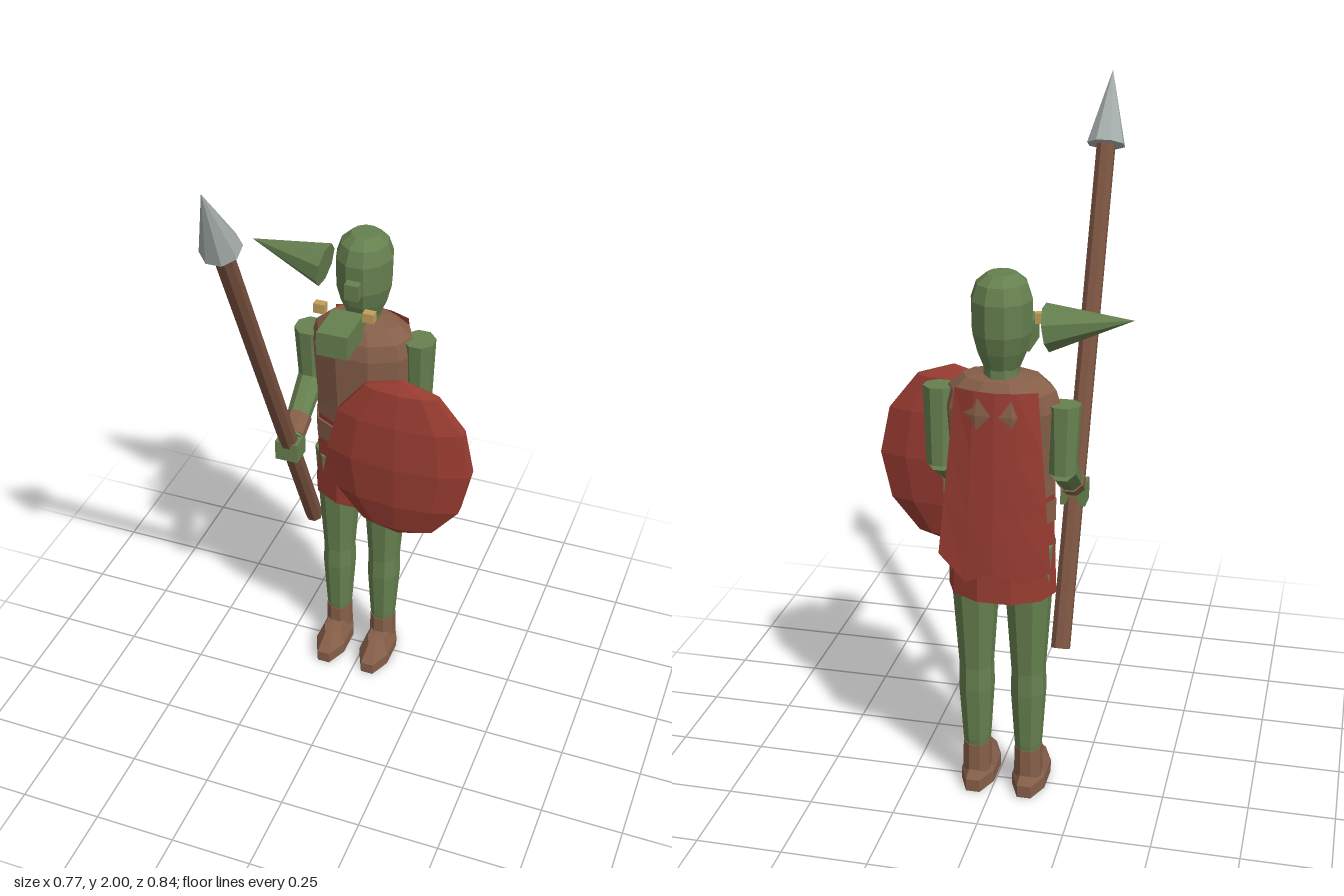
import * as THREE from 'three';

const mat = (name, color) => {
  const m = new THREE.MeshStandardMaterial({ color, flatShading: true });
  m.name = name;
  return m;
};
const V = (x, y, z) => new THREE.Vector3(x, y, z);

export function createModel() {
  const skin = mat('green skin', 0x66804f);
  const leather = mat('brown leather', 0x865f49);
  const wood = mat('spear wood', 0x79523f);
  const red = mat('red cloth and paint', 0x983c31);
  red.side = THREE.DoubleSide;
  const steel = mat('steel', 0xa5adab);
  const gold = mat('gold', 0xc2a05a);

  const model = new THREE.Group();
  model.name = 'spearWarrior';
  const CX = -0.025, CZ = -0.275; // body axis

  const add = (name, geo, material, x = 0, y = 0, z = 0) => {
    const mesh = new THREE.Mesh(geo, material);
    mesh.name = name;
    mesh.position.set(x, y, z);
    model.add(mesh);
    return mesh;
  };
  // Turned shape, profile from bottom to top, squashed or stretched in z
  const turned = (name, pts, sides, zScale, material, x, z) => {
    const geo = new THREE.LatheGeometry(pts.map(p => new THREE.Vector2(...p)), sides);
    geo.rotateY(Math.PI / sides);
    geo.scale(1, 1, zScale);
    return add(name, geo, material, x, 0, z);
  };
  // Tapered cylinder from a to b
  const limb = (name, a, b, ra, rb, material, sides = 8) => {
    const dir = b.clone().sub(a);
    const geo = new THREE.CylinderGeometry(rb, ra, dir.length(), sides);
    geo.rotateY(Math.PI / sides);
    const mid = a.clone().add(b).multiplyScalar(0.5);
    const mesh = add(name, geo, material, mid.x, mid.y, mid.z);
    mesh.quaternion.setFromUnitVectors(V(0, 1, 0), dir.normalize());
    return mesh;
  };
  const box = (name, w, h, d, x, y, z, material) =>
    add(name, new THREE.BoxGeometry(w, h, d), material, x, y, z);

  // Head and neck
  turned('head', [[0, 1.31], [0.05, 1.31], [0.07, 1.36], [0.083, 1.41], [0.085, 1.5],
    [0.07, 1.545], [0.04, 1.57], [0, 1.57]], 10, 1.1, skin, CX, -0.272);
  turned('neck', [[0.052, 1.24], [0.048, 1.34]], 8, 1.1, skin, CX, CZ);
  box('nose', 0.042, 0.05, 0.04, CX, 1.432, -0.176, skin);

  // Jaw block with tusks, and the pointed ear
  box('jaw', 0.093, 0.075, 0.135, CX, 1.347, -0.07, skin);
  for (const s of [-1, 1]) box('tusk', 0.034, 0.03, 0.024, CX + s * 0.074, 1.4, -0.107, gold);
  limb('ear', V(-0.152, 1.43, -0.283), V(-0.385, 1.467, -0.292), 0.066, 0, skin, 8);

  // Torso, belt and skirt
  turned('torso', [[0.148, 0.88], [0.15, 1.0], [0.165, 1.2], [0.15, 1.25],
    [0.11, 1.285], [0, 1.3]], 10, 0.68, leather, CX, -0.27);
  turned('belt', [[0, 0.87], [0.152, 0.87], [0.152, 0.935], [0, 0.935]], 10, 0.74, leather, CX, -0.27);
  box('buckle', 0.05, 0.055, 0.02, CX, 0.903, -0.164, gold);
  turned('skirt', [[0.156, 0.65], [0.148, 0.87], [0.15, 0.952]], 10, 0.74, red, CX, CZ);

  // Legs and shoes
  for (const s of [-1, 1]) {
    const x = CX + s * 0.077;
    turned('leg', [[0.036, 0.12], [0.041, 0.16], [0.052, 0.33], [0.05, 0.4],
      [0.067, 0.65], [0.076, 0.8], [0, 0.83]], 8, 1.15, skin, x, CZ);
    turned('bootCuff', [[0.043, 0.05], [0.041, 0.142], [0, 0.142]], 8, 1.15, leather, x, CZ);
    turned('shoe', [[0, 0], [0.053, 0], [0.053, 0.038], [0.03, 0.085], [0, 0.088]],
      8, 2.3, leather, x, -0.23);
  }

  // Arms, bent forward at the elbow
  for (const s of [-1, 1]) {
    const x = CX + s * 0.172;
    const top = s > 0 ? 1.245 : 1.215;
    const elbow = V(x, 1.035, -0.285), wrist = V(x, 0.915, -0.115);
    limb('upperArm', V(x, 1.02, -0.285), V(x, top, CZ), 0.04, 0.049, skin);
    limb('forearm', elbow, wrist, 0.042, 0.034, skin);
    limb('bracer', elbow.clone().lerp(wrist, 0.66), elbow.clone().lerp(wrist, 0.96), 0.041, 0.038, leather);
    box('hand', 0.072, 0.065, 0.066, x, 0.888, -0.098, skin);
  }

  // Spear, leaning forward through the right hand
  const foot = V(-0.197, 0.48, -0.288), neck = V(-0.197, 1.8, 0.322);
  limb('spearShaft', foot, neck, 0.028, 0.028, wood, 8);
  limb('spearHead', neck, V(-0.197, 2, 0.418), 0.057, 0, steel, 8);

  // Shield: a flattened faceted ball
  const shield = new THREE.SphereGeometry(1, 10, 6);
  shield.rotateY(Math.PI / 10);
  shield.scale(0.231, 0.281, 0.064);
  add('shield', shield, red, 0.162, 0.955, -0.071);

  // Cape: rows hang from the shoulders and flare to a ragged hem
  const cols = 4, rows = 3, hem = [0.77, 0.73, 0.76, 0.72, 0.79];
  const cape = new THREE.PlaneGeometry(1, 1, cols, rows);
  const pos = cape.attributes.position;
  for (let i = 0; i < pos.count; i++) {
    const c = i % (cols + 1), t = Math.floor(i / (cols + 1)) / rows;
    const u = c / cols * 2 - 1;
    const x = CX + u * (0.115 + 0.045 * t) - 0.005 * t;
    const y = 1.265 + (hem[c] - 1.265) * t;
    const z = -0.372 - 0.045 * t + 0.03 * u * u * (1 - 0.3 * t) + 0.008 * u * t;
    pos.setXYZ(i, x, y, z);
  }
  cape.computeVertexNormals();
  add('cape', cape, red);

  return model;
}
